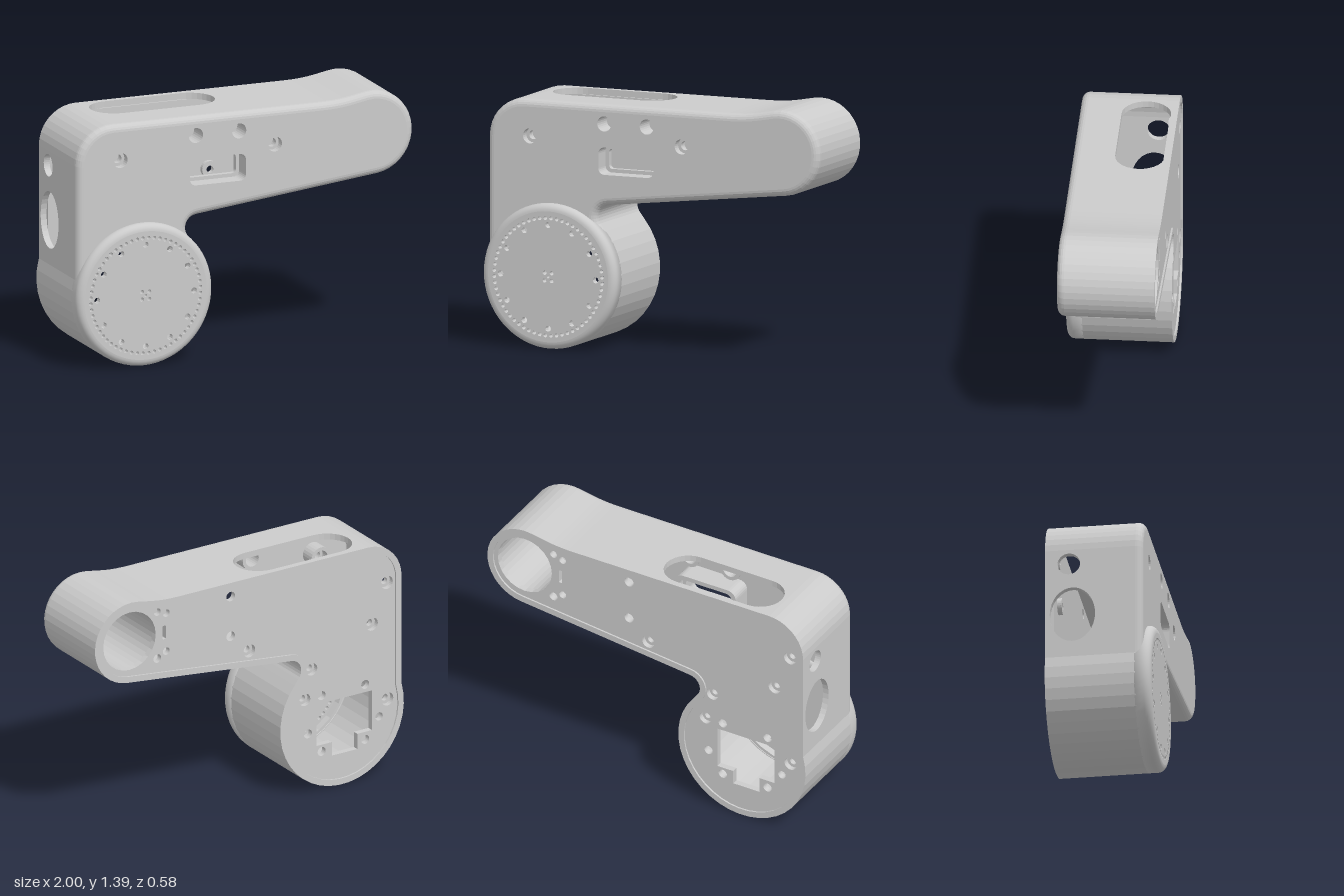
import * as THREE from 'three';

const mat = new THREE.MeshStandardMaterial({ color: 0xcccccc, side: THREE.DoubleSide });
const V = (x, y) => new THREE.Vector2(x, y);
const DISC = V(-0.6, 0.4);
const WALL = 0.035, BACK = -0.29, EDGE = 0.205, FRONT = 0.245, ROUND = 0.04;

// points on an arc, angles in degrees
function arc(cx, cy, r, a0, a1, n) {
  return Array.from({ length: n + 1 }, (_, i) => {
    const a = THREE.MathUtils.degToRad(a0 + (a1 - a0) * i / n);
    return V(cx + r * Math.cos(a), cy + r * Math.sin(a));
  });
}

// housing silhouette, clockwise from the foot of the rear wall
function outline() {
  const swell = new THREE.CubicBezierCurve(V(0.45, 1.36), V(0.58, 1.36), V(0.624, 1.373), V(0.724, 1.391));
  return [
    V(-0.985, 0.58), V(-0.985, 1.135),
    ...arc(-0.77, 1.145, 0.215, 180, 90, 9),
    V(-0.765, 1.36), V(-0.01, 1.36),
    ...swell.getPoints(8),
    ...arc(0.765, 1.16, 0.235, 90, -83.8, 18),
    ...arc(-0.266, 0.736, 0.07, 96.2, 224.7, 10),
    ...arc(DISC.x, DISC.y, 0.4, 40, -195.7, 26),
  ];
}

// moves a clockwise outline inwards by d
function inset(pts, d) {
  const n = pts.length;
  return pts.map((p, i) => {
    const a = p.clone().sub(pts[(i + n - 1) % n]).normalize();
    const b = pts[(i + 1) % n].clone().sub(p).normalize();
    const m = V(a.y + b.y, -a.x - b.x).normalize();
    const k = Math.max(0.5, m.dot(V(a.y, -a.x)));
    return p.clone().addScaledVector(m, d / k);
  });
}

const circle = (x, y, r) => new THREE.Path().absarc(x, y, r, 0, Math.PI * 2, true);
const poly = pts => new THREE.Path(pts);

function roundRect(cx, cy, hw, hh, r) {
  return [
    ...arc(cx + hw - r, cy + hh - r, r, 0, 90, 6), ...arc(cx - hw + r, cy + hh - r, r, 90, 180, 6),
    ...arc(cx - hw + r, cy - hh + r, r, 180, 270, 6), ...arc(cx + hw - r, cy - hh + r, r, 270, 360, 6),
  ];
}

function slab(pts, holes, z0, z1, seg = 10) {
  const s = new THREE.Shape(pts);
  s.holes.push(...holes);
  const g = new THREE.ExtrudeGeometry(s, { depth: z1 - z0, bevelEnabled: false, curveSegments: seg });
  return g.translate(0, 0, z0);
}

const ring = (x, y, ro, ri, z0, z1, n = 24) =>
  slab(arc(x, y, ro, 0, 360 - 360 / n, n - 1), [circle(x, y, ri)], z0, z1, n / 2);

// side wall with rim and rounded front edge; gaps are left for the two pierced panels
function wallGeometry(pts) {
  const layers = [[WALL, EDGE], [WALL, 0.035], [WALL, -0.275], [WALL, BACK],
    [0, BACK], [0, -0.275], [0, 0.035], [0, EDGE]];
  for (let k = 1; k <= 5; k++) {
    const t = k / 5 * Math.PI / 2;
    layers.push([ROUND * (1 - Math.cos(t)), EDGE + ROUND * Math.sin(t)]);
  }
  const loops = layers.map(([d, z]) => inset(pts, d).map(p => [p.x, p.y, z]));
  const pos = [];
  const n = pts.length;
  for (let j = 0; j < layers.length - 1; j++) {
    for (let i = 0; i < n; i++) {
      const k = (i + 1) % n;
      const mid = pts[i].clone().add(pts[k]).multiplyScalar(0.5);
      const top = mid.y > 1.3599 && mid.x > -0.765 && mid.x < -0.01;
      const rear = mid.x < -0.9849 && mid.y > 0.58 && mid.y < 1.135;
      if ((j === 1 || j === 5) && (top || rear)) continue;
      const a = loops[j][i], b = loops[j + 1][i], c = loops[j + 1][k], d = loops[j][k];
      pos.push(...a, ...b, ...c, ...a, ...c, ...d);
    }
  }
  const g = new THREE.BufferGeometry();
  g.setAttribute('position', new THREE.Float32BufferAttribute(pos, 3));
  g.computeVertexNormals();
  return g;
}

export function createModel() {
  const model = new THREE.Group();
  const add = (name, g) => {
    const m = new THREE.Mesh(g, mat);
    m.name = name;
    model.add(m);
    return m;
  };
  const pts = outline();
  add('sideWall', wallGeometry(pts));

  // top panel with a long slot
  const topPanel = slab([V(-0.765, -0.035), V(-0.01, -0.035), V(-0.01, 0.275), V(-0.765, 0.275)],
    [poly([...arc(-0.165, 0.12, 0.135, -90, 90, 14), ...arc(-0.615, 0.12, 0.135, 90, 270, 14)])], 0, WALL);
  add('topPanel', topPanel.rotateX(-Math.PI / 2).translate(0, 1.36 - WALL, 0));

  // rear panel with an oval opening and a round one
  const oval = new THREE.Path().absellipse(-0.14, 0.76, 0.125, 0.16, 0, Math.PI * 2, true);
  const rearPanel = slab([V(-0.275, 0.58), V(0.035, 0.58), V(0.035, 1.135), V(-0.275, 1.135)],
    [oval, circle(-0.16, 1.062, 0.062)], 0, WALL, 16);
  add('rearPanel', rearPanel.rotateY(-Math.PI / 2).translate(-0.985 + WALL, 0, 0));

  // front plate, with counterbored holes and a stepped window
  const frontHoles = [[-0.73, 1.16, 0.025], [0.18, 1.16, 0.025], [-0.285, 1.255, 0], [-0.03, 1.255, 0]];
  const win = (hw, hh, r) => roundRect(-0.155, 1.05, hw, hh, r);
  add('frontPlate', slab(inset(pts, ROUND), [
    circle(DISC.x, DISC.y, 0.345), poly(win(0.165, 0.075, 0.035)),
    ...frontHoles.map(([x, y]) => circle(x, y, 0.042)),
  ], EDGE, FRONT, 12));
  for (const [x, y, r] of frontHoles) {
    add('frontBoss', ring(x, y, 0.062, 0.042, 0.12, EDGE));
    if (r) add('screwSeat', ring(x, y, 0.05, r, 0.17, 0.2));
  }
  add('windowSleeve', slab(win(0.19, 0.1, 0.05), [poly(win(0.165, 0.075, 0.035))], 0.08, EDGE));
  add('windowStep', slab(win(0.17, 0.08, 0.035), [poly(win(0.145, 0.055, 0.02))], 0.12, 0.15));

  // round front cap: rounded rim and perforated face
  const rim = [V(0.36, 0.2), V(0.4, 0.2), ...arc(0.36, 0.25, 0.04, 0, 90, 6)];
  const rimMesh = add('capRim', new THREE.LatheGeometry(rim, 64).rotateX(Math.PI / 2).scale(1, 1, 1));
  rimMesh.position.set(DISC.x, DISC.y, 0);
  const capHoles = [circle(0, 0, 0.008)];
  const holeRow = (n, radius, r, turn = 0) => {
    for (const p of arc(0, 0, radius, turn, turn + 360 - 360 / n, n - 1)) capHoles.push(circle(p.x, p.y, r));
  };
  holeRow(60, 0.323, 0.011, 3);
  holeRow(12, 0.285, 0.017);
  holeRow(4, 0.03, 0.012, 45);
  const face = add('capFace', slab(arc(0, 0, 0.36, 0, 360 - 360 / 64, 63), capHoles, 0.25, 0.29, 5));
  face.position.set(DISC.x, DISC.y, 0);

  // back plate, slightly below the rim: screw holes, cable slot, cutout and bore
  const screws = [
    [0.59, 1.295, 0.022], [0.532, 1.275, 0.022], [0.59, 1.02, 0.025], [0.532, 1.05, 0.022],
    [0.115, 1.275, 0.028], [0.115, 1.04, 0.028], [-0.006, 0.925, 0.038], [-0.897, 1.12, 0.038],
    [-0.8, 0.896, 0.038], [-0.41, 0.72, 0.036], [-0.365, 0.55, 0.036], [-0.474, 0.55, 0.026],
    [-0.756, 0.55, 0.026], [-0.9, 0.43, 0.038], [-0.846, 0.34, 0.024], [-0.756, 0.225, 0.026],
    [-0.474, 0.22, 0.026], [-0.385, 0.345, 0.026],
  ];
  const cutout = [V(-0.44, 0.505), V(-0.8, 0.505), V(-0.8, 0.27), V(-0.705, 0.27), V(-0.705, 0.18),
    V(-0.54, 0.18), V(-0.54, 0.26), V(-0.44, 0.26)];
  add('backPlate', slab(inset(pts, WALL), [
    circle(0.77, 1.165, 0.17), poly(cutout), poly(roundRect(0.545, 1.164, 0.01, 0.04, 0.005)),
    ...screws.map(([x, y, r]) => circle(x, y, r)),
  ], -0.28, -0.245, 12));
  for (const [x, y, r] of screws) {
    if (r > 0.03) add('backScrewSeat', ring(x, y, r + 0.008, 0.02, -0.25, -0.22));
  }

  // bore at the tip of the arm
  add('armBore', ring(0.77, 1.165, 0.185, 0.17, -0.26, EDGE, 36));
  return model;
}
